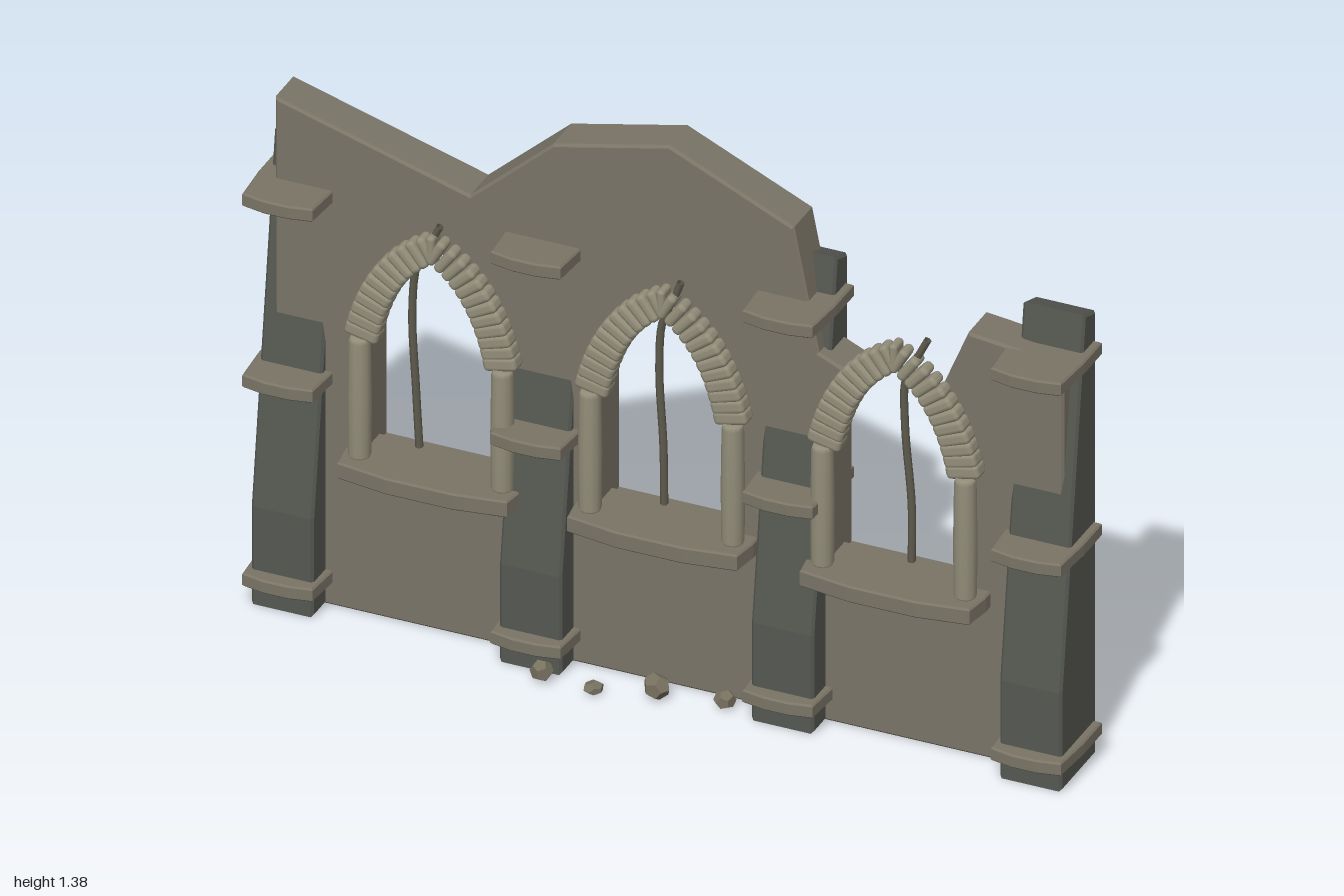
import * as THREE from 'three';
import { RoundedBoxGeometry } from 'three/addons/geometries/RoundedBoxGeometry.js';

const material = (name, color, extra = {}) => {
  const m = new THREE.MeshStandardMaterial({ color, ...extra });
  m.name = name;
  return m;
};

// Bevelled slab whose outer size stays exactly the outline and depth given
function slab(points, depth, bevel, holes = []) {
  const shape = new THREE.Shape(points.map(p => new THREE.Vector2(...p)));
  for (const h of holes) shape.holes.push(new THREE.Path(h.map(p => new THREE.Vector2(...p))));
  const g = new THREE.ExtrudeGeometry(shape, {
    depth: depth - 2 * bevel, bevelEnabled: true, bevelSegments: 1,
    bevelSize: bevel, bevelThickness: bevel, bevelOffset: -bevel,
  });
  return g.translate(0, 0, bevel - depth / 2);
}

export function createModel() {
  const root = new THREE.Group();
  root.name = 'ruinedArcadeWall';
  const wallStone = material('wall stone', 0x7a7467);
  const darkStone = material('dark stone', 0x555751);
  const trimStone = material('trim stone', 0x7a7466);
  const paleStone = material('pale stone', 0x928d79);
  const vineBrown = material('dry vine', 0x5f5b4e);
  const rubbleStone = material('rubble stone', 0x77705f);

  const add = (parent, name, geometry, mat, x = 0, y = 0, z = 0) => {
    const mesh = new THREE.Mesh(geometry, mat);
    mesh.name = name;
    mesh.position.set(x, y, z);
    parent.add(mesh);
    return mesh;
  };

  // Broken wall: two whole pointed openings, the third is open at the top
  const opening = cx => [
    [-0.165, 0.41], [0.165, 0.41], [0.165, 0.72], [0.1, 0.89],
    [0, 0.97], [-0.1, 0.89], [-0.165, 0.72],
  ].map(([x, y]) => [cx + x, y]);
  const outline = [
    [-0.95, 0], [0.95, 0], [0.95, 1.05], [0.72, 1.075], [0.66, 0.93], [0.665, 0.88],
    [0.725, 0.72], [0.725, 0.41], [0.395, 0.41], [0.395, 0.72], [0.45, 0.895],
    [0.36, 0.935], [0.3, 1.24], [0, 1.375], [-0.28, 1.31], [-0.48, 1.13], [-0.95, 1.265],
  ];
  add(root, 'wall', slab(outline, 0.105, 0.006, [opening(-0.56), opening(0)]), wallStone, 0, 0, 0.0225);

  // Buttresses with sloping fronts, each tied by three bands
  const buttressShape = slab([
    [-0.045, 0], [0.14, 0], [0.14, 0.25], [0.015, 1.15], [-0.045, 1.13],
  ], 0.15, 0.006).rotateY(-Math.PI / 2);
  const bandShape = slab([
    [-0.093, -0.036], [0.093, -0.036], [0.093, 0.06], [0.085, 0.165],
    [0.03, 0.176], [-0.03, 0.176], [-0.085, 0.165], [-0.093, 0.06],
  ], 0.034, 0.004).rotateX(Math.PI / 2);
  for (const x of [-0.903, -0.305, 0.302, 0.9]) {
    const group = new THREE.Group();
    group.name = 'buttress';
    group.position.x = x;
    root.add(group);
    add(group, 'buttressPier', buttressShape, darkStone);
    for (const y of [0.072, 0.58, 1.043]) add(group, 'buttressBand', bandShape, trimStone, 0, y);
  }

  // Window dressing: sill, side columns, ribbed arch and hanging vine
  const sillShape = slab([
    [-0.215, 0.01], [0.215, 0.01], [0.215, 0.1], [0.205, 0.165],
    [0.08, 0.184], [-0.08, 0.184], [-0.205, 0.165], [-0.215, 0.1],
  ], 0.042, 0.004).rotateX(Math.PI / 2);
  const columnShape = new THREE.LatheGeometry([
    [0, 0], [0.022, 0], [0.026, 0.008], [0.027, 0.15], [0.025, 0.295], [0.021, 0.305], [0, 0.305],
  ].map(p => new THREE.Vector2(...p)), 12);
  const halfArch = new THREE.QuadraticBezierCurve(
    new THREE.Vector2(0.166, 0.745), new THREE.Vector2(0.125, 0.93), new THREE.Vector2(0, 0.995));
  const vines = [
    [[0.015, 1.05], [-0.005, 1.01], [-0.04, 0.94], [-0.052, 0.82], [-0.043, 0.62], [-0.035, 0.475]],
    [[0.04, 1.05], [0.022, 1.0], [-0.004, 0.94], [-0.012, 0.82], [-0.002, 0.62], [0, 0.475]],
    [[0.075, 1.05], [0.05, 1.0], [0.022, 0.94], [0.02, 0.82], [0.036, 0.62], [0.036, 0.475]],
  ];
  const steps = 12;
  [-0.555, 0, 0.56].forEach((x, i) => {
    const group = new THREE.Group();
    group.name = 'window';
    group.position.x = x;
    root.add(group);
    add(group, 'sill', sillShape, trimStone, 0, 0.407);
    for (const side of [-1, 1]) {
      add(group, 'column', columnShape, paleStone, side * 0.172, 0.425, 0.115);
      for (let k = 0; k < steps; k++) {
        const u = k / (steps - 0.5);
        const p = halfArch.getPointAt(u), t = halfArch.getTangentAt(u);
        const stone = new RoundedBoxGeometry(0.082 - 0.012 * u, 0.036 - 0.013 * u, 0.046, 2, 0.011);
        const mesh = add(group, 'archStone', stone, paleStone, side * p.x, p.y, 0.102);
        mesh.rotation.z = side * Math.atan2(-t.x, t.y);
      }
    }
    const keystone = new RoundedBoxGeometry(0.02, 0.07, 0.046, 2, 0.009);
    add(group, 'keystone', keystone, paleStone, 0, 0.995, 0.102);
    const path = new THREE.CatmullRomCurve3(vines[i].map(([vx, vy]) => new THREE.Vector3(vx, vy, 0.1)));
    add(group, 'vine', new THREE.TubeGeometry(path, 24, 0.009, 6), vineBrown)
      .material.side = THREE.DoubleSide;
  });

  // Fallen rubble: x, z, radius, height scale
  const rockShape = new THREE.DodecahedronGeometry(1, 0);
  [
    [-0.26, 0.178, 0.027, 1], [-0.135, 0.178, 0.026, 0.55], [0, 0.14, 0.034, 0.9],
    [0.155, 0.12, 0.026, 0.9], [0.012, -0.175, 0.025, 0.6], [0.25, -0.155, 0.023, 1],
    [-0.02, -0.062, 0.034, 0.9], [0.9, -0.06, 0.036, 0.9], [0.13, -0.03, 0.018, 0.6],
  ].forEach(([x, z, r, h], i) => {
    const rock = add(root, 'rubble', rockShape, rubbleStone, x, r * h, z);
    rock.scale.set(r, r * h, r * 0.9);
    rock.rotation.y = i * 1.3;
  });

  return root;
}
